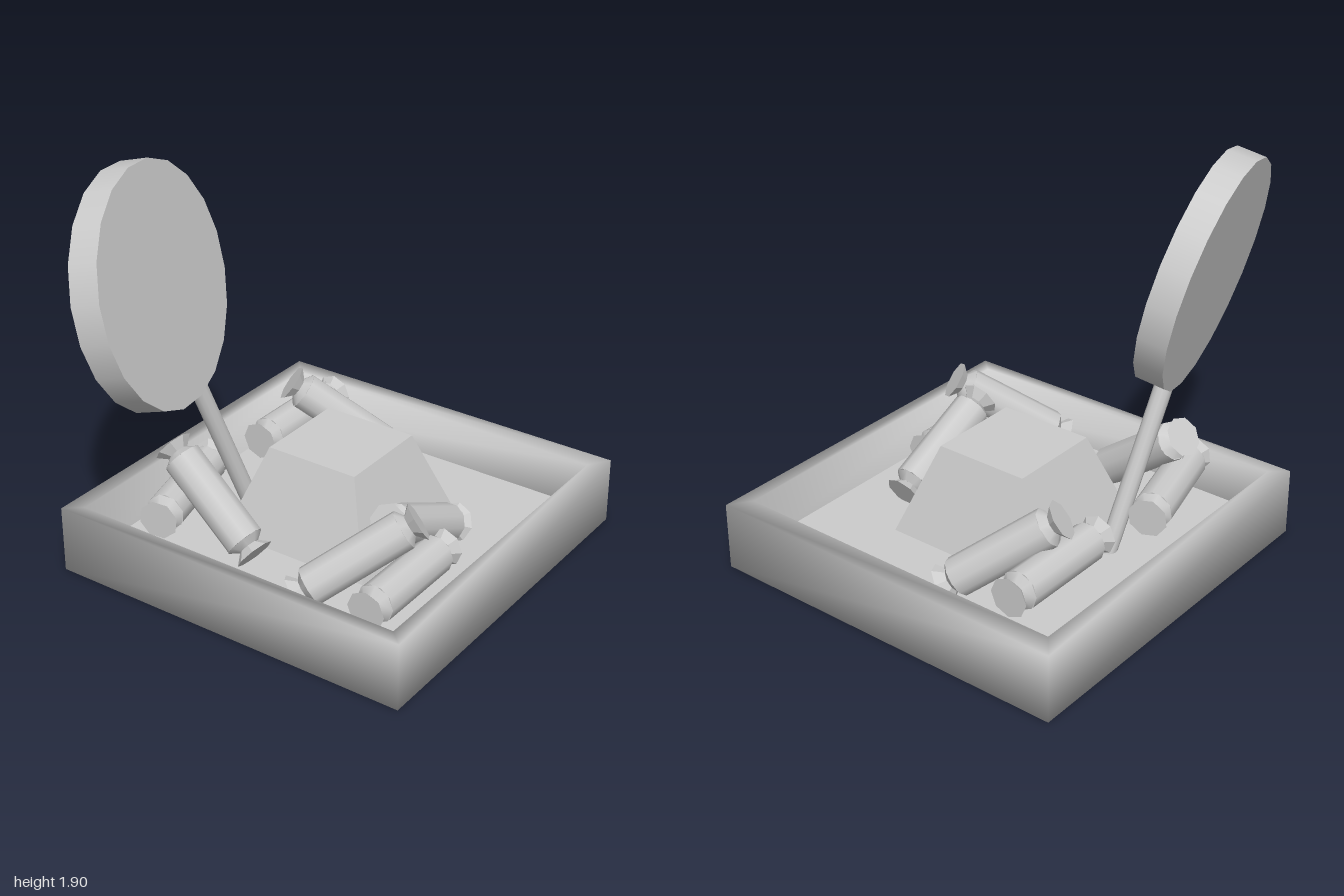
import * as THREE from 'three';

const grey = new THREE.MeshStandardMaterial({ color: 0xcccccc });
const flat = new THREE.MeshStandardMaterial({ color: 0xcccccc, flatShading: true });
const V = (x, y, z) => new THREE.Vector3(x, y, z);
const UP = V(0, 1, 0);

function add(parent, name, geometry, material = grey) {
  const mesh = new THREE.Mesh(geometry, material);
  mesh.name = name;
  parent.add(mesh);
  return mesh;
}

// Place an object centred between two points, its y axis running from a to b
function span(object, a, b) {
  object.position.copy(a).add(b).multiplyScalar(0.5);
  object.quaternion.setFromUnitVectors(UP, b.clone().sub(a).normalize());
}

// Softly shaded tray: rectangular rings lofted from the base over the rim to the floor
function trayGeometry() {
  const rings = [ // x0, x1, z0, z1, y
    [-0.8, 1, -0.9, 0.9, 0],
    [-0.8, 1, -0.9, 0.9, 0.32],
    [-0.735, 0.9, -0.82, 0.83, 0.32],
    [-0.68, 0.84, -0.76, 0.78, 0.13],
  ];
  const pos = [], idx = [0, 2, 1, 0, 3, 2];
  rings.forEach(([x0, x1, z0, z1, y], i) => {
    pos.push(x0, y, z1, x1, y, z1, x1, y, z0, x0, y, z0);
    if (i === 0) return;
    for (let k = 0; k < 4; k++) {
      const a = (i - 1) * 4 + k, b = (i - 1) * 4 + (k + 1) % 4;
      idx.push(a, b, b + 4, a, b + 4, a + 4);
    }
  });
  const g = new THREE.BufferGeometry();
  g.setAttribute('position', new THREE.Float32BufferAttribute(pos, 3));
  g.setIndex(idx);
  g.computeVertexNormals();
  return g;
}

// Wrapped sweet: round body with a pinched, flared twist at each end
function sweet(a, b) {
  const g = new THREE.Group();
  g.name = 'wrappedSweet';
  add(g, 'sweetBody', new THREE.CylinderGeometry(0.09, 0.09, 0.47, 10));
  for (const s of [1, -1]) {
    const end = new THREE.Group();
    end.name = 'wrapperTwist';
    add(end, 'pinch', new THREE.CylinderGeometry(0.05, 0.09, 0.03, 8)).position.y = 0.25;
    add(end, 'flare', new THREE.CylinderGeometry(0.092, 0.045, 0.045, 8), flat).position.y = 0.283;
    if (s < 0) end.rotation.x = Math.PI;
    g.add(end);
  }
  span(g, a, b);
  return g;
}

export function createModel() {
  const model = new THREE.Group();
  model.name = 'sweetTray';

  // Tray and its floor
  add(model, 'tray', trayGeometry());
  const floor = add(model, 'trayFloor', new THREE.PlaneGeometry(1.52, 1.54));
  floor.rotation.x = -Math.PI / 2;
  floor.position.set(0.08, 0.13, 0.01);

  // Tapered square pedestal
  const pedestal = add(model, 'pedestal',
    new THREE.CylinderGeometry(0.23 * Math.SQRT2, 0.385 * Math.SQRT2, 0.43, 4)
      .rotateY(Math.PI / 4), flat);
  pedestal.position.set(0.085, 0.335, 0.003);

  // Tilted round board on a leaning pole
  const normal = V(0.23, 0.24, 0.943).normalize();
  const front = V(-0.445, 1.375, -0.535);
  const board = add(model, 'roundBoard', new THREE.CylinderGeometry(0.54, 0.54, 0.135, 20));
  span(board, front.clone().addScaledVector(normal, -0.135), front);

  const poleBase = V(0.01, 0.11, -0.46), poleTop = V(-0.3, 0.93, -0.55);
  const pole = add(model, 'pole',
    new THREE.CylinderGeometry(0.042, 0.042, poleBase.distanceTo(poleTop), 12));
  span(pole, poleBase, poleTop);

  // Sweets, given by their two end points
  [
    [V(0.19, 0.33, -0.54), V(0.8, 0.33, -0.54)],
    [V(0.71, 0.18, -0.12), V(0.45, 0.53, -0.54)],
    [V(-0.45, 0.2, -0.09), V(-0.4, 0.56, -0.57)],
    [V(-0.64, 0.33, -0.47), V(-0.05, 0.33, -0.63)],
    [V(-0.6, 0.2, 0.25), V(-0.25, 0.52, 0.63)],
    [V(0.28, 0.2, 0.49), V(-0.26, 0.46, 0.49)],
    [V(-0.6, 0.25, 0.605), V(0.01, 0.25, 0.605)],
  ].forEach(([a, b]) => model.add(sweet(a, b)));

  return model;
}
